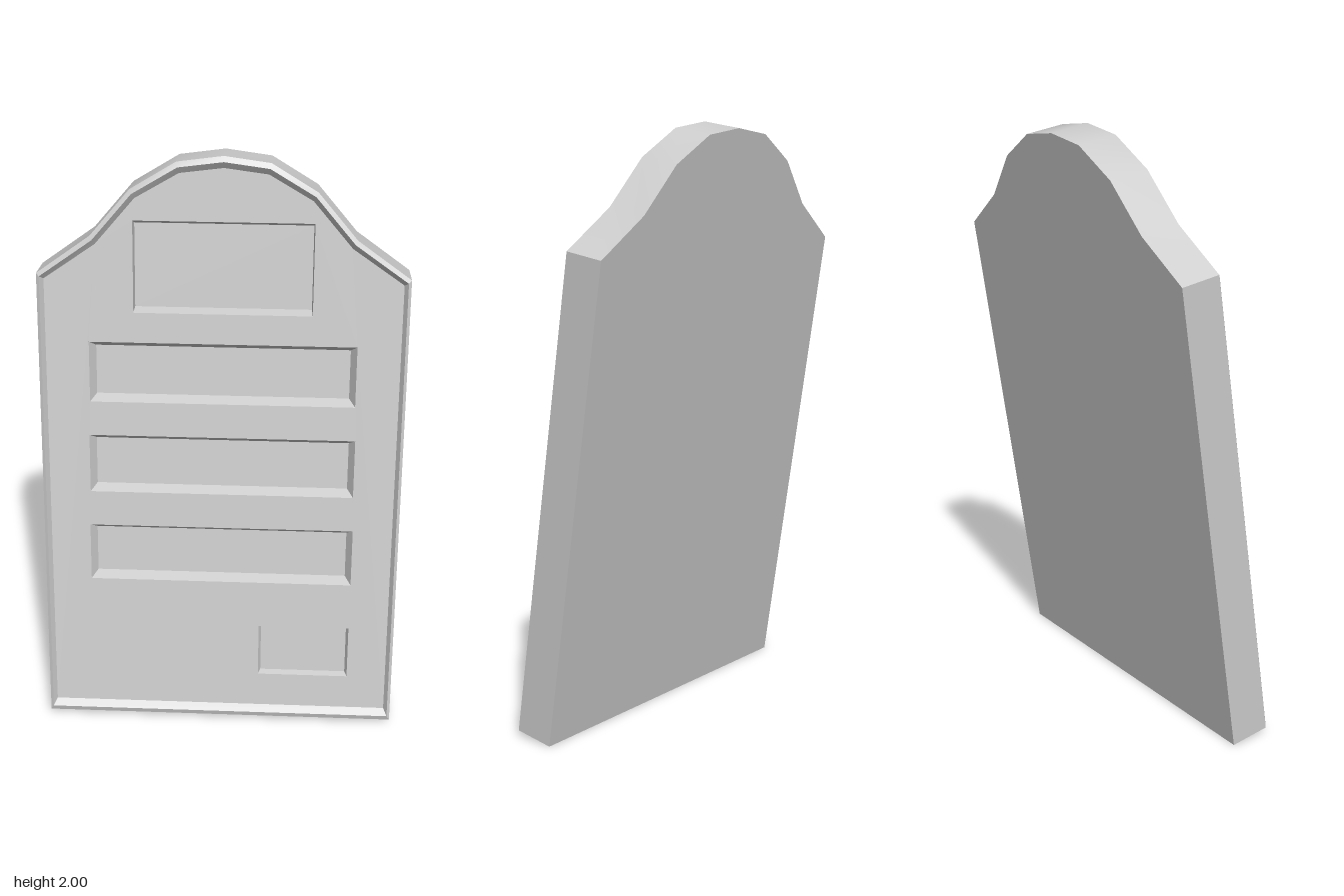
import * as THREE from 'three';
import { toCreasedNormals } from 'three/addons/utils/BufferGeometryUtils.js';

const material = new THREE.MeshStandardMaterial({ color: 0xcccccc });
const PANEL = 0.127; // height of the recessed face above the back

// Half of the arched outline, mirrored to a full counter-clockwise loop
const half = [[0.607, 0], [0.607, 1.612], [0.43, 1.738], [0.3, 1.89], [0.15, 1.98]];
const outline = [...half, [0, 2.0], ...half.map(([x, y]) => [-x, y]).reverse()];

// Mitred inset of the outline; the border is broader at top and bottom than at the sides
function inset(loop, d) {
  const n = loop.length;
  const normal = (a, b) => new THREE.Vector2(a[1] - b[1], b[0] - a[0]).normalize();
  return loop.map((p, i) => {
    const n1 = normal(loop[(i + n - 1) % n], p), n2 = normal(p, loop[(i + 1) % n]);
    const k = d / (1 + n1.dot(n2));
    return [p[0] + (n1.x + n2.x) * k, p[1] + (n1.y + n2.y) * k * 1.8];
  });
}

// Skin between successive loops of equal length: [{ loop, z }]
function loft(rings) {
  const pos = [], index = [], n = rings[0].loop.length;
  rings.forEach(({ loop, z }) => loop.forEach(([x, y]) => pos.push(x, y, z)));
  for (let r = 0; r < rings.length - 1; r++) {
    for (let i = 0; i < n; i++) {
      const a = r * n + i, b = r * n + (i + 1) % n;
      index.push(a, b, b + n, a, b + n, a + n);
    }
  }
  const g = new THREE.BufferGeometry();
  g.setAttribute('position', new THREE.Float32BufferAttribute(pos, 3));
  g.setIndex(index);
  g.computeVertexNormals();
  return toCreasedNormals(g, 0.52);
}

const toPoints = (loop) => loop.map(([x, y]) => new THREE.Vector2(x, y));
const rect = (x0, x1, y0, y1) => [[x0, y0], [x1, y0], [x1, y1], [x0, y1]];

// Recesses: left, right, bottom, top, side inset, end inset, depth
const recesses = [
  ['topPlaque', -0.293, 0.293, 1.482, 1.787, 0.003, 0.013, 0.035],
  ['upperSlot', -0.442, 0.442, 1.172, 1.38, 0.02, 0.02, 0.035],
  ['middleSlot', -0.447, 0.447, 0.848, 1.053, 0.02, 0.02, 0.035],
  ['lowerSlot', -0.451, 0.451, 0.52, 0.724, 0.02, 0.02, 0.035],
  ['smallPlaque', 0.135, 0.45, 0.163, 0.352, 0.008, 0.009, 0.02],
];

export function createModel() {
  const model = new THREE.Group();
  model.name = 'leaningArchedSlab';
  const slab = new THREE.Group();
  slab.name = 'slab';
  const add = (name, geometry, parent = slab) => {
    const mesh = new THREE.Mesh(geometry, material);
    mesh.name = name;
    parent.add(mesh);
    return mesh;
  };

  // Side walls, chamfered rim and bevel down to the panel
  const inner = inset(outline, 0.022);
  add('bodyAndRim', loft([
    { loop: outline, z: 0 },
    { loop: outline, z: 0.139 },
    { loop: inset(outline, 0.01), z: 0.147 },
    { loop: inner, z: PANEL },
  ]));

  // Flat back
  const back = new THREE.ShapeGeometry(new THREE.Shape(toPoints(outline).map((p) => p.setX(-p.x)).reverse()));
  add('back', back.rotateY(Math.PI));

  // Front panel with openings
  const panel = new THREE.Shape(toPoints(inner));
  for (const [, x0, x1, y0, y1] of recesses) {
    panel.holes.push(new THREE.Path(toPoints(rect(x0, x1, y0, y1))));
  }
  add('frontPanel', new THREE.ShapeGeometry(panel)).position.z = PANEL;

  // Recess walls and floors
  for (const [name, x0, x1, y0, y1, dx, dy, depth] of recesses) {
    const group = new THREE.Group();
    group.name = name;
    slab.add(group);
    const floor = rect(x0 + dx, x1 - dx, y0 + dy, y1 - dy);
    add(name + 'Walls', loft([
      { loop: rect(x0, x1, y0, y1), z: PANEL },
      { loop: floor, z: PANEL - depth },
    ]), group);
    add(name + 'Floor', new THREE.ShapeGeometry(new THREE.Shape(toPoints(floor))), group).position.z = PANEL - depth;
  }

  // Lean backwards on the lower back edge
  slab.rotation.x = -THREE.MathUtils.degToRad(8.77);
  slab.position.z = 0.08;
  model.add(slab);
  return model;
}
